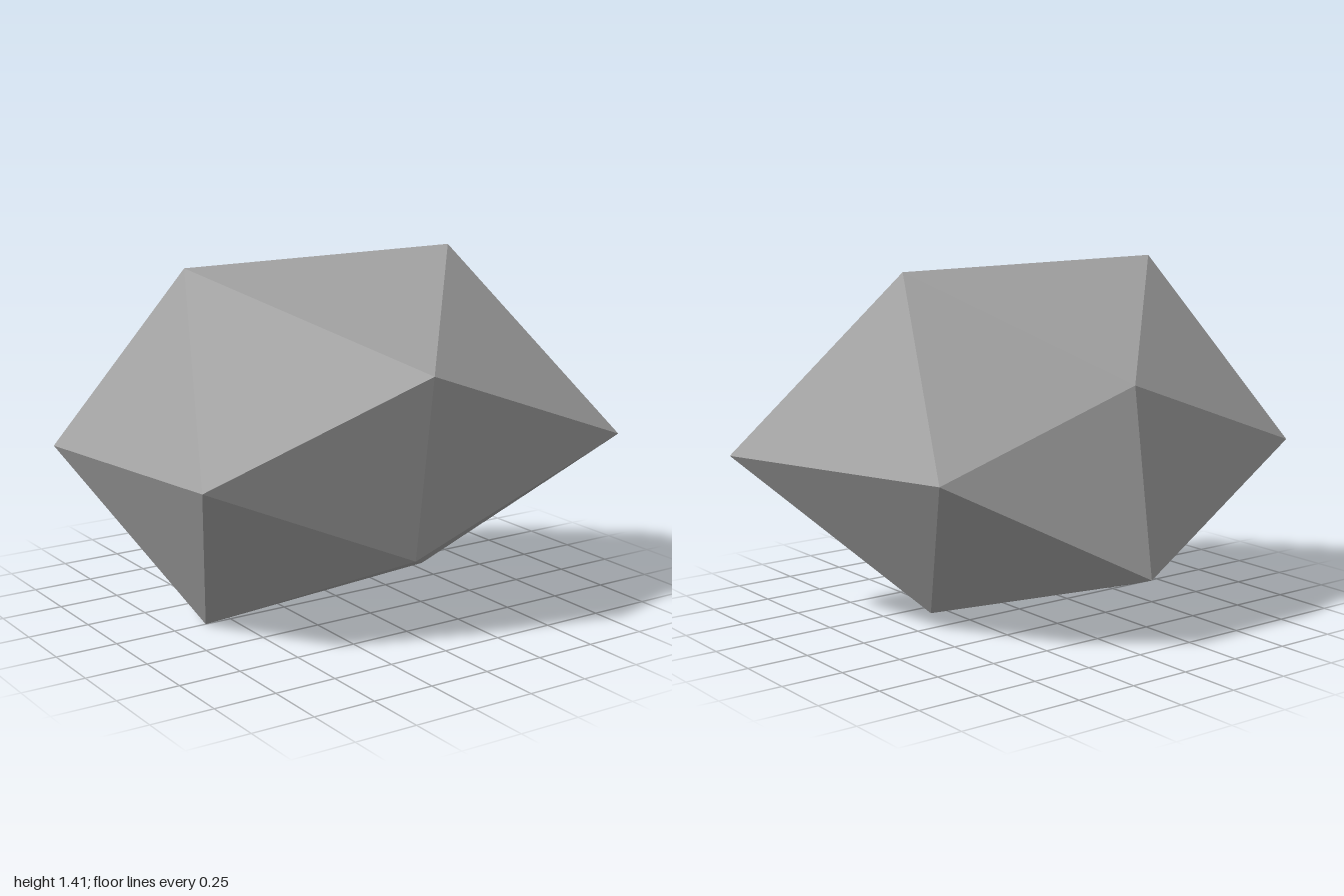
import * as THREE from 'three';

// Irregular twenty-sided stone: three crossed rectangles of corners, pulled off square.
const corners = {
  A: [-0.675, 1.412, 0], B: [0.55, 1.412, 0],            // top ridge
  C: [-0.612, 0, 0], D: [0.438, 0.062, 0],               // bottom ridge
  E: [-0.062, 1.06, 0.74], G: [-0.062, 0.333, 0.638],    // front ridge
  F: [-0.062, 1.003, -0.631], H: [-0.062, 0.276, -0.74], // back ridge
  I: [0.996, 0.67, 0.575], J: [0.66, 0.67, -0.39],       // left ridge
  K: [-0.854, 0.67, 0.43], L: [-1, 0.67, -0.508],        // right ridge
};

// Twelve faces along the ridges, then eight between them
const faces = ('ABE ABF CDG CDH EGI EGK FHJ FHL IJB IJD KLA KLC ' +
  'BEI BFJ AEK AFL DGI DHJ CGK CHL').split(' ');

export function createModel() {
  const center = new THREE.Vector3(0, 0.7, 0);
  const points = [];
  for (const face of faces) {
    const [a, b, c] = [...face].map((k) => new THREE.Vector3(...corners[k]));
    // Wind every face outward
    const normal = b.clone().sub(a).cross(c.clone().sub(a));
    const outward = normal.dot(a.clone().sub(center)) > 0;
    points.push(...(outward ? [a, b, c] : [a, c, b]));
  }
  const geometry = new THREE.BufferGeometry().setFromPoints(points);
  geometry.computeVertexNormals();

  const material = new THREE.MeshStandardMaterial({ color: 0xaaaaaa });
  material.name = 'stone grey';
  const stone = new THREE.Mesh(geometry, material);
  stone.name = 'stone';

  const group = new THREE.Group();
  group.name = 'facetedStone';
  group.add(stone);
  return group;
}
